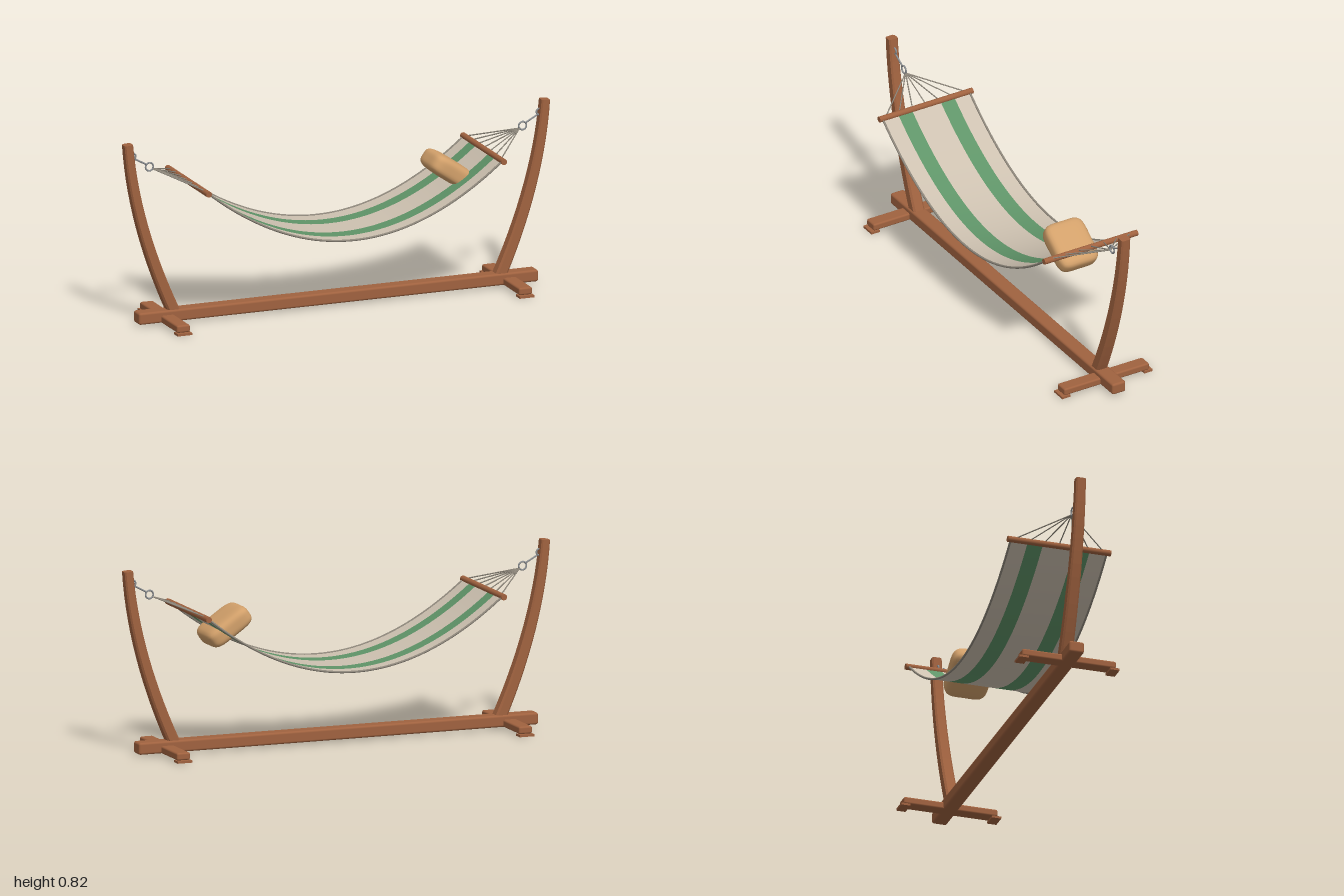
import * as THREE from 'three';
import { mergeVertices } from 'three/addons/utils/BufferGeometryUtils.js';
import { RoundedBoxGeometry } from 'three/addons/geometries/RoundedBoxGeometry.js';

const flat = (name, color, side = THREE.FrontSide) => {
  const m = new THREE.MeshStandardMaterial({ color, side });
  m.name = name;
  return m;
};
const V = (x, y, z = 0) => new THREE.Vector3(x, y, z);

// Height of the hanging cloth at x
const HALF = 0.69;
const sag = (x) => 0.345 + 0.281 * (x / HALF) ** 2;

// Tapered, chamfered post swept along a curve in the xy plane
function postGeometry(curve, steps) {
  const pos = [], index = [];
  const section = [[1, -0.7], [1, 0.7], [0.7, 1], [-0.7, 1], [-1, 0.7], [-1, -0.7], [-0.7, -1], [0.7, -1]];
  const n = section.length;
  for (let i = 0; i <= steps; i++) {
    const t = i / steps, p = curve.getPoint(t), d = curve.getTangent(t);
    const w = THREE.MathUtils.lerp(0.026, 0.02, t), h = THREE.MathUtils.lerp(0.028, 0.022, t);
    for (const [a, b] of section) pos.push(p.x + d.y * a * w, p.y - d.x * a * w, b * h);
  }
  for (let i = 0; i < steps; i++) {
    for (let j = 0; j < n; j++) {
      const a = i * n + j, b = i * n + (j + 1) % n;
      index.push(a, a + n, b, b, a + n, b + n);
    }
  }
  const top = steps * n;
  for (let j = 1; j < n - 1; j++) {
    index.push(0, j, j + 1, top, top + j + 1, top + j);
  }
  const g = new THREE.BufferGeometry();
  g.setAttribute('position', new THREE.Float32BufferAttribute(pos, 3));
  g.setIndex(index);
  const out = g.toNonIndexed();
  out.computeVertexNormals();
  return out;
}

// Strip of hanging cloth between two z values
function clothStrip(z0, z1) {
  const g = new THREE.PlaneGeometry(2 * HALF, z1 - z0, 48, 1).rotateX(-Math.PI / 2);
  g.translate(0, 0, (z0 + z1) / 2);
  const p = g.attributes.position;
  for (let i = 0; i < p.count; i++) p.setY(i, sag(p.getX(i)));
  g.computeVertexNormals();
  return g;
}

// Puffy cushion: superellipsoid with slightly hollow sides
function pillowGeometry(w, h, d) {
  let g = new THREE.BoxGeometry(2, 2, 2, 18, 10, 18);
  const p = g.attributes.position;
  for (let i = 0; i < p.count; i++) {
    let x = p.getX(i), y = p.getY(i), z = p.getZ(i);
    const k = (x ** 4 + Math.abs(y) ** 4 + z ** 4) ** -0.25;
    x *= k; y *= k; z *= k;
    const px = 1 - 0.06 * (1 - z * z), pz = 1 - 0.06 * (1 - x * x);
    p.setXYZ(i, x * px * w / 2, y * h / 2, z * pz * d / 2);
  }
  g.deleteAttribute('normal');
  g.deleteAttribute('uv');
  g = mergeVertices(g, 1e-5);
  g.computeVertexNormals();
  return g;
}

export function createModel() {
  const root = new THREE.Group();
  root.name = 'hammockOnStand';
  const wood = flat('wood', 0xa0623f);
  const cloth = flat('cloth', 0xcdc1b0, THREE.DoubleSide);
  const green = flat('greenStripe', 0x5f9468, THREE.DoubleSide);
  const tan = flat('pillowTan', 0xd2a06a);
  const cord = flat('cord', 0x8f887c);
  const metal = flat('metal', 0x8c8f92);

  const add = (name, geo, mat, x = 0, y = 0, z = 0, parent = root) => {
    const m = new THREE.Mesh(geo, mat);
    m.name = name;
    m.position.set(x, y, z);
    parent.add(m);
    return m;
  };
  // Straight round rod between two points
  const rod = (name, a, b, r, mat, parent, sides = 8) => {
    const m = add(name, new THREE.CylinderGeometry(r, r, a.distanceTo(b), sides), mat, 0, 0, 0, parent);
    m.position.copy(a).lerp(b, 0.5);
    m.quaternion.setFromUnitVectors(V(0, 1), b.clone().sub(a).normalize());
  };

  // Base beam
  add('baseBeam', new RoundedBoxGeometry(1.875, 0.053, 0.068, 2, 0.01), wood, 0, 0.0365, 0);

  for (const s of [-1, 1]) {
    const end = new THREE.Group();
    end.name = s > 0 ? 'leftEnd' : 'rightEnd';
    root.add(end);

    // Cross foot and its pads
    add('crossFoot', new RoundedBoxGeometry(0.062, 0.033, 0.43, 2, 0.008), wood, s * 0.803, 0.0265, 0, end);
    for (const z of [-0.208, 0.208]) {
      add('footPad', new THREE.BoxGeometry(0.068, 0.01, 0.042), wood, s * 0.803, 0.005, z, end);
    }

    // Curved post
    const curve = new THREE.QuadraticBezierCurve3(V(s * 0.763, 0.045), V(s * 0.95, 0.45), V(s * 0.979, 0.821));
    add('post', postGeometry(curve, 14), wood, 0, 0, 0, end);

    // Eye bolt, link and gathering ring
    const eye = V(s * 0.955, 0.766), ring = V(s * 0.876, 0.711);
    add('eyeBolt', new THREE.TorusGeometry(0.014, 0.004, 8, 20), metal, eye.x, eye.y, 0, end);
    rod('link', V(s * 0.945, 0.753), V(s * 0.89, 0.723), 0.004, metal, end);
    add('gatheringRing', new THREE.TorusGeometry(0.018, 0.004, 8, 24), metal, ring.x, ring.y, 0, end);

    // Fan of cords down to the spreader bar
    for (let i = -3; i <= 3; i++) {
      rod('cord', V(s * 0.862, 0.701), V(s * 0.695, 0.633, i * 0.0663), 0.0028, cord, end, 6);
    }
    rod('spreaderBar', V(s * 0.693, 0.626, -0.236), V(s * 0.693, 0.626, 0.236), 0.0135, wood, end, 16);
  }

  // Striped cloth
  const edges = [-0.22, -0.142, -0.072, 0.072, 0.142, 0.22];
  for (let i = 0; i < 5; i++) {
    const striped = i % 2 === 1;
    add(striped ? 'clothStripe' : 'clothPanel', clothStrip(edges[i], edges[i + 1]), striped ? green : cloth);
  }

  // Corded hems along both long sides
  for (const z of [-0.22, 0.22]) {
    const pts = [];
    for (let i = 0; i <= 16; i++) {
      const x = HALF * (i / 8 - 1);
      pts.push(V(x, sag(x), z));
    }
    add('hem', new THREE.TubeGeometry(new THREE.CatmullRomCurve3(pts), 48, 0.005, 8), cord);
  }

  // Pillow
  const pillow = add('pillow', pillowGeometry(0.235, 0.094, 0.205), tan, 0.525, 0.551, 0);
  pillow.rotation.z = -0.6;

  return root;
}
